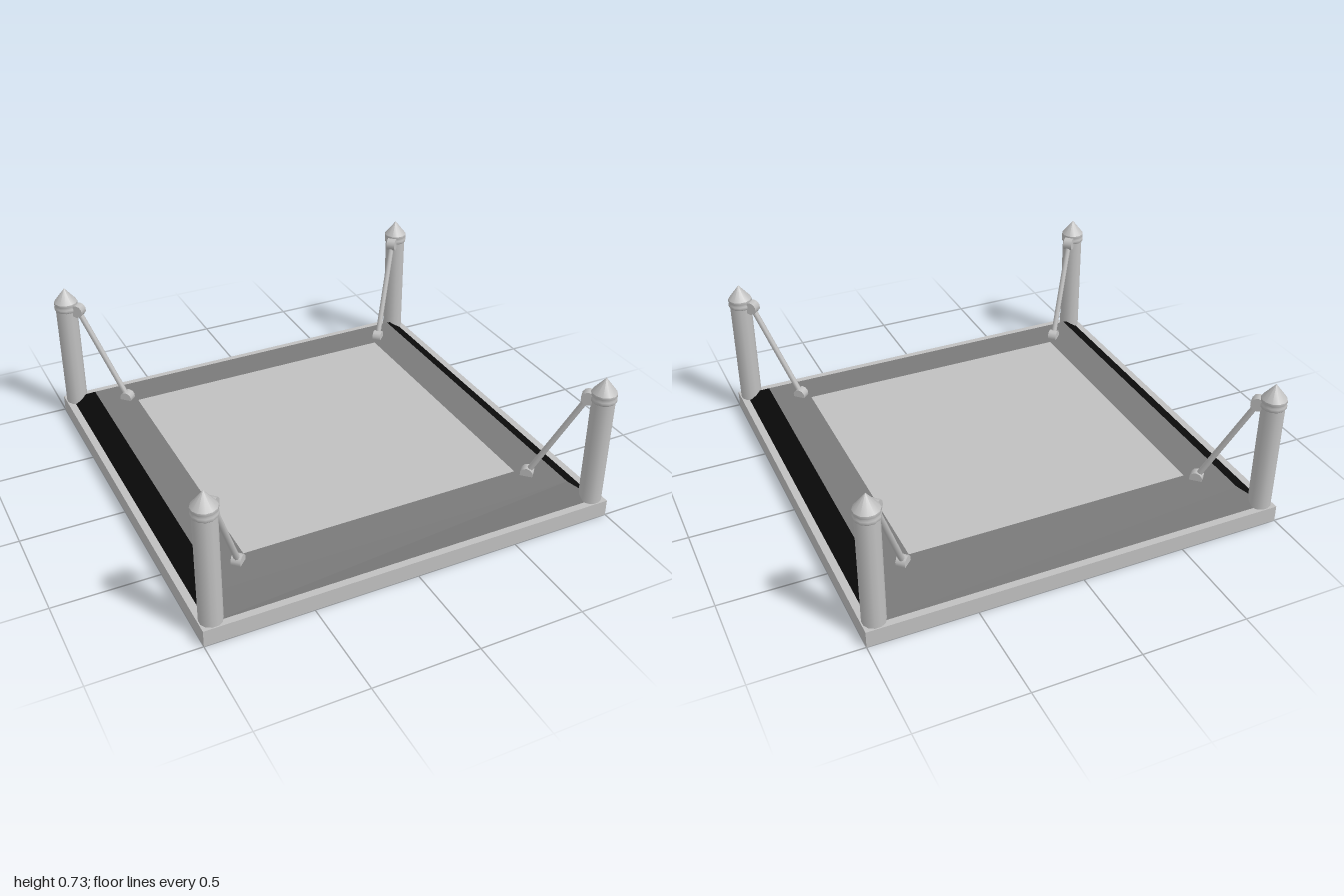
import * as THREE from 'three';

export function createModel() {
  const group = new THREE.Group();
  const mat = (name, color) => Object.assign(new THREE.MeshStandardMaterial({ color }), { name });
  const lightGrey = mat('light grey', 0xc0c0c0);
  const midGrey = mat('mid grey', 0x7a7a7a);
  const black = mat('black', 0x0a0a0a);

  const add = (parent, name, geometry, material, x = 0, y = 0, z = 0) => {
    const mesh = new THREE.Mesh(geometry, material);
    mesh.name = name;
    mesh.position.set(x, y, z);
    parent.add(mesh);
    return mesh;
  };

  // Square base slab
  add(group, 'base', new THREE.BoxGeometry(2, 0.08, 2), lightGrey, 0, 0.04, 0);

  // Sloping black skirt: an open four-sided frustum
  const skirt = new THREE.CylinderGeometry(0.865 * Math.SQRT2, 0.965 * Math.SQRT2, 0.065, 4, 1, true)
    .rotateY(Math.PI / 4).toNonIndexed();
  skirt.computeVertexNormals();
  add(group, 'skirt', skirt, black, 0, 0.1125, 0);

  // Platform top: grey border around a light floor
  const square = (h, Type) => new Type([[-h, -h], [h, -h], [h, h], [-h, h]].map(p => new THREE.Vector2(...p)));
  const border = square(0.865, THREE.Shape);
  border.holes.push(square(0.69, THREE.Path));
  add(group, 'border', new THREE.ShapeGeometry(border).rotateX(-Math.PI / 2), midGrey, 0, 0.145, 0);
  add(group, 'floor', new THREE.PlaneGeometry(1.38, 1.38).rotateX(-Math.PI / 2), lightGrey, 0, 0.145, 0);

  // Pointed cap with a rounded collar
  const collar = new THREE.LatheGeometry([
    [0.053, 0.608], [0.059, 0.615], [0.059, 0.628], [0.054, 0.635], [0.059, 0.642], [0.058, 0.654],
  ].map(p => new THREE.Vector2(...p)), 12);

  // Each corner is modelled along +x, then turned onto its diagonal
  const postR = 0.943 * Math.SQRT2;
  const top = new THREE.Vector2(0.897 * Math.SQRT2, 0.615);
  const foot = new THREE.Vector2(0.732 * Math.SQRT2, 0.155);
  for (let i = 0; i < 4; i++) {
    const corner = new THREE.Group();
    corner.name = 'corner' + (i + 1);
    corner.rotation.y = Math.PI / 4 + i * Math.PI / 2;
    group.add(corner);

    add(corner, 'post', new THREE.CylinderGeometry(0.053, 0.053, 0.54, 12), lightGrey, postR, 0.35, 0);
    add(corner, 'collar', collar, lightGrey, postR, 0, 0);
    add(corner, 'cap', new THREE.ConeGeometry(0.058, 0.073, 12), lightGrey, postR, 0.69, 0);

    // Diagonal strut between two pivots
    const strut = add(corner, 'strut', new THREE.CylinderGeometry(0.014, 0.014, top.distanceTo(foot), 8),
      lightGrey, (top.x + foot.x) / 2, (top.y + foot.y) / 2, 0);
    strut.rotation.z = -Math.atan2(top.x - foot.x, top.y - foot.y);
    const pivot = (r) => new THREE.CylinderGeometry(r, r, 0.045, 10).rotateX(Math.PI / 2);
    add(corner, 'upperPivot', pivot(0.033), lightGrey, top.x, top.y, 0);
    add(corner, 'lowerPivot', pivot(0.031), lightGrey, foot.x, foot.y, 0);
  }
  return group;
}
